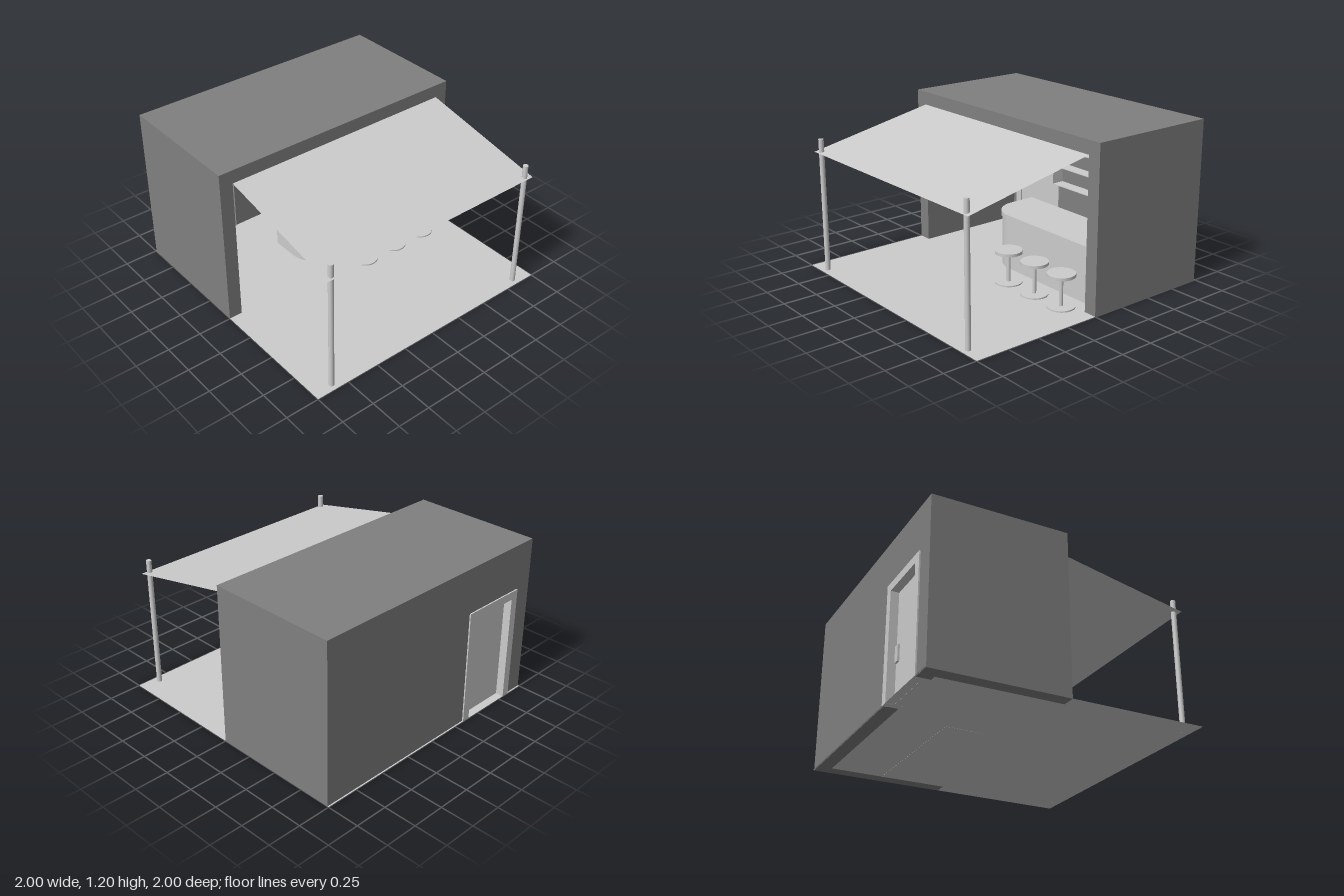
import * as THREE from 'three';

export function createModel() {
  const wallMat = new THREE.MeshStandardMaterial({ color: 0x808080 });
  wallMat.name = 'dark grey';
  const lightMat = new THREE.MeshStandardMaterial({ color: 0xcccccc, side: THREE.DoubleSide });
  lightMat.name = 'light grey';

  const model = new THREE.Group();
  model.name = 'barKiosk';

  function add(name, geometry, material, x = 0, y = 0, z = 0, parent = model) {
    const mesh = new THREE.Mesh(geometry, material);
    mesh.name = name;
    mesh.position.set(x, y, z);
    parent.add(mesh);
    return mesh;
  }
  const box = (w, h, d) => new THREE.BoxGeometry(w, h, d);
  const extrude = (shape, depth) =>
    new THREE.ExtrudeGeometry(shape, { depth, bevelEnabled: false, curveSegments: 16 });

  // Arch outline: a rectangle with a doorway cut up from the ground
  function arch(x0, x1, top, in0, in1, inTop) {
    return new THREE.Shape([
      [x0, 0], [in0, 0], [in0, inTop], [in1, inTop], [in1, 0], [x1, 0], [x1, top], [x0, top],
    ].map(([x, y]) => new THREE.Vector2(x, y)));
  }

  // Building shell, open at the front, with a doorway in the back wall
  add('sideWallsAndRoof', extrude(arch(-1, 1, 1.2, -0.9, 0.9, 1.1), 0.89), wallMat, 0, 0, -0.89);
  add('backWall', extrude(arch(-1, 1, 1.2, -0.85, -0.35, 0.85), 0.1), wallMat, 0, 0, -0.99);

  // Floor sheet under building and terrace
  add('floor', new THREE.PlaneGeometry(2, 2).rotateX(-Math.PI / 2), lightMat, 0, 0.001, 0);

  // Back door
  add('doorFrame', extrude(arch(-0.86, -0.34, 0.86, -0.8, -0.4, 0.8), 0.12), lightMat, 0, 0, -1);
  add('doorPanel', box(0.4, 0.8, 0.05), lightMat, -0.6, 0.4, -0.915);
  add('doorHandle', box(0.045, 0.12, 0.015), lightMat, -0.43, 0.34, -0.947);

  // Sloping awning sheet and its two posts
  const slope = Math.atan2(0.2, 0.98);
  const awning = new THREE.PlaneGeometry(1.8, Math.hypot(0.98, 0.2)).rotateX(-Math.PI / 2 + slope);
  add('awning', awning, lightMat, 0, 1, 0.49);
  for (const x of [-0.85, 0.85]) {
    add('awningPost', new THREE.CylinderGeometry(0.019, 0.019, 1, 24), lightMat, x, 0.5, 0.95);
  }

  // Counter with a rounded front corner; shape y becomes -z
  function counterPart(left, front, radius, height) {
    const s = new THREE.Shape();
    s.moveTo(0.9, front);
    s.lineTo(0.9, 0.5);
    s.lineTo(left, 0.5);
    s.lineTo(left, front + radius);
    s.absarc(left + radius, front + radius, radius, Math.PI, Math.PI * 1.5, false);
    s.closePath();
    return extrude(s, height).rotateX(-Math.PI / 2);
  }
  add('counterBody', counterPart(-0.22, 0.1, 0.2, 0.385), lightMat);
  add('counterTop', counterPart(-0.23, 0.09, 0.21, 0.035), lightMat, 0, 0.385, 0);

  // Thin shelves on the back wall
  for (const y of [0.45, 0.6, 0.75]) {
    add('shelf', box(1.16, 0.005, 0.1), lightMat, 0.27, y, -0.84);
  }
  for (const x of [-0.308, 0.848]) {
    add('shelfEnd', box(0.005, 0.3, 0.1), lightMat, x, 0.6, -0.84);
  }

  // Bar stools
  for (const x of [0.18, 0.46, 0.735]) {
    const stool = new THREE.Group();
    stool.name = 'stool';
    stool.position.set(x, 0, 0.067);
    model.add(stool);
    add('stoolBase', new THREE.CylinderGeometry(0.1, 0.1, 0.01, 32), lightMat, 0, 0.007, 0, stool);
    add('stoolStem', new THREE.CylinderGeometry(0.014, 0.014, 0.22, 20), lightMat, 0, 0.12, 0, stool);
    add('stoolSeat', new THREE.CylinderGeometry(0.1, 0.1, 0.022, 32), lightMat, 0, 0.24, 0, stool);
  }

  return model;
}
